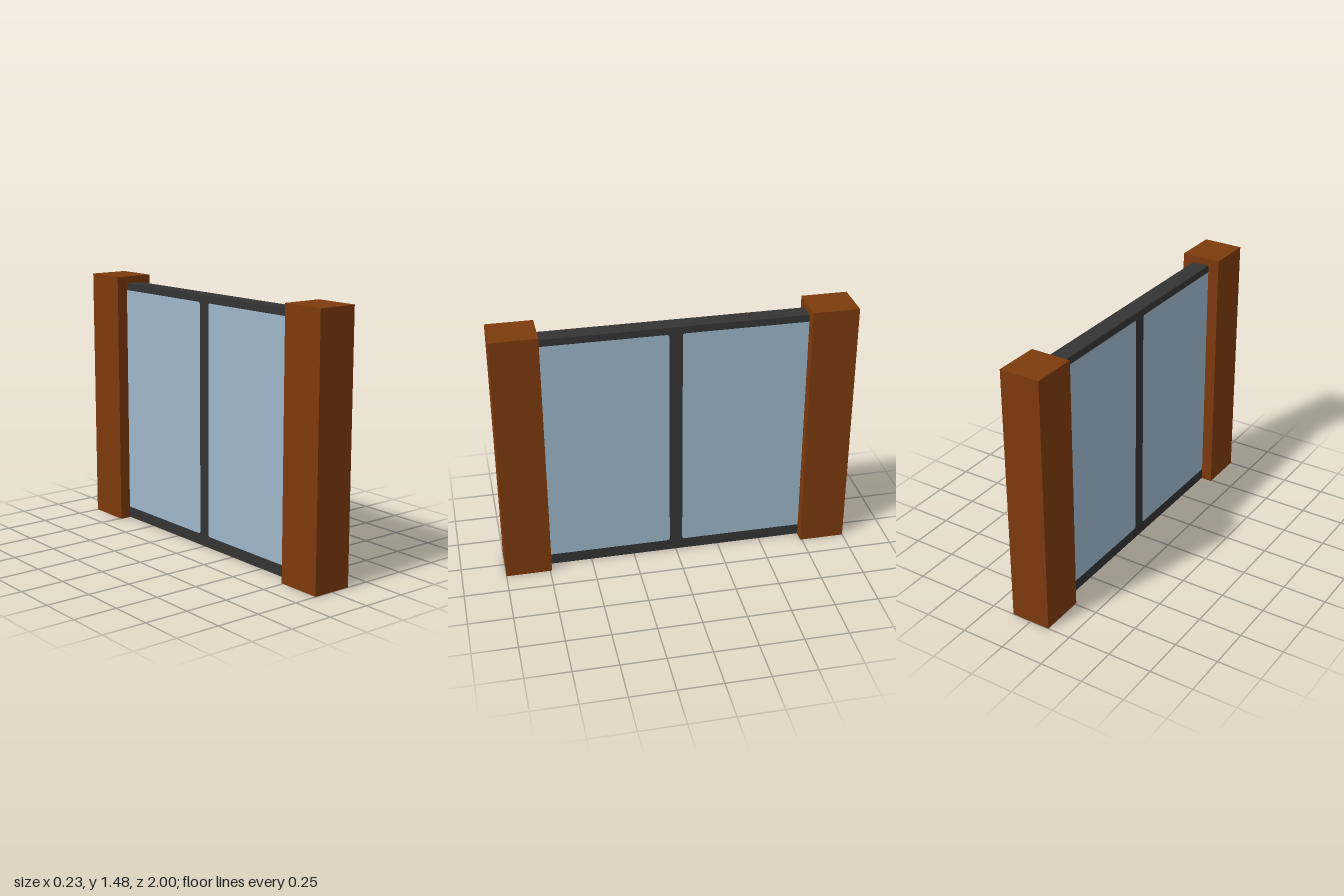
import * as THREE from 'three';

const wood = new THREE.MeshStandardMaterial({ color: 0x7d3a0d, name: 'wood' });
const metal = new THREE.MeshStandardMaterial({ color: 0x343434, name: 'darkFrame', side: THREE.DoubleSide });
const glass = new THREE.MeshStandardMaterial({ color: 0x9db7ca, name: 'paleGlass', side: THREE.DoubleSide });

// Rounded outline of one window pane
function paneOutline(target, x0, x1, y0, y1, r) {
  target.moveTo(x0 + r, y0);
  target.lineTo(x1 - r, y0);
  target.quadraticCurveTo(x1, y0, x1, y0 + r);
  target.lineTo(x1, y1 - r);
  target.quadraticCurveTo(x1, y1, x1 - r, y1);
  target.lineTo(x0 + r, y1);
  target.quadraticCurveTo(x0, y1, x0, y1 - r);
  target.lineTo(x0, y0 + r);
  target.quadraticCurveTo(x0, y0, x0 + r, y0);
  return target;
}

export function createModel() {
  const model = new THREE.Group();
  const add = (name, geometry, material, x, y, z) => {
    const mesh = new THREE.Mesh(geometry, material);
    mesh.name = name;
    mesh.position.set(x, y, z);
    model.add(mesh);
    return mesh;
  };

  const top = 1.44, half = 0.05, end = 0.78;
  const panes = [[-0.76, -0.037], [0.037, 0.76]];

  // Wooden posts at both ends
  for (const s of [1, -1]) {
    add('post', new THREE.BoxGeometry(0.23, 1.48, 0.26), wood, 0, 0.74, s * 0.87);
  }

  // Frame sheet with two openings, and the flush panes that fill them
  const sheet = new THREE.Shape();
  sheet.moveTo(-end, 0.002).lineTo(end, 0.002).lineTo(end, top).lineTo(-end, top).closePath();
  for (const [a, b] of panes) sheet.holes.push(paneOutline(new THREE.Path(), a, b, 0.067, 1.4, 0.015));
  const sheetGeometry = new THREE.ShapeGeometry(sheet, 4);
  for (const s of [1, -1]) {
    add('frameSheet', sheetGeometry, metal, s * half, 0, 0).rotation.y = s * Math.PI / 2;
    for (const [a, b] of panes) {
      const pane = new THREE.ShapeGeometry(paneOutline(new THREE.Shape(), a, b, 0.067, 1.4, 0.015), 4);
      add('windowPane', pane, glass, s * half, 0, 0).rotation.y = s * Math.PI / 2;
    }
  }

  // Top rail and centre mullion join the two sheets; the bottom stays open
  add('topRail', new THREE.BoxGeometry(0.098, 0.04, end * 2), metal, 0, top - 0.02, 0);
  add('centreMullion', new THREE.BoxGeometry(0.098, 1.4, 0.072), metal, 0, 0.702, 0);

  return model;
}
